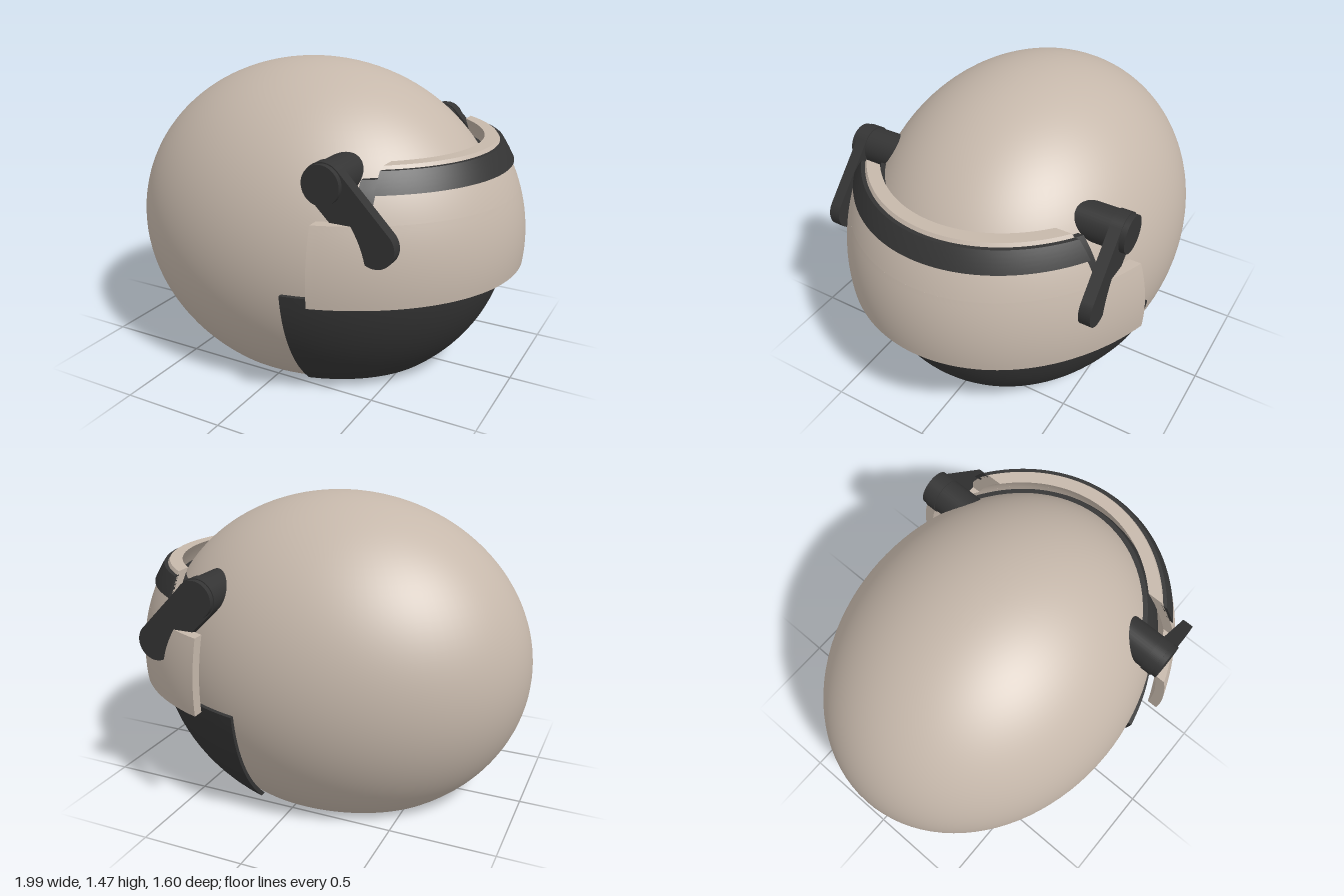
import * as THREE from 'three';
import { toCreasedNormals } from 'three/addons/utils/BufferGeometryUtils.js';

const CX = -0.055, CY = 0.645; // centre shared by all the ellipsoids

// Curved plate between two concentric ellipsoids [a, b, c], kept between y0 and y1 and in front of xMin
function plateGeometry(outer, inner, y0, y1, xMin, cols = 64, rows = 14) {
  const position = [], index = [], ring = 2 * (rows + 1);
  const point = ([a, b, c], y, u) => {
    const r = Math.sqrt(1 - ((y - CY) / b) ** 2);
    const t = u * Math.acos(Math.min(1, (xMin - CX) / (a * r)));
    position.push(CX + a * r * Math.cos(t), y, c * r * Math.sin(t));
  };
  for (let i = 0; i <= cols; i++) {
    const u = (i / cols) * 2 - 1;
    for (let j = 0; j <= rows; j++) point(outer, y0 + ((y1 - y0) * j) / rows, u);
    for (let j = rows; j >= 0; j--) point(inner, y0 + ((y1 - y0) * j) / rows, u);
  }
  for (let i = 0; i < cols; i++) {
    for (let j = 0; j < ring; j++) {
      const k = (j + 1) % ring, p = i * ring, q = p + ring;
      index.push(p + j, p + k, q + j, p + k, q + k, q + j);
    }
  }
  // end caps
  for (let j = 0; j < rows; j++) {
    const o = j, o2 = j + 1, n = ring - 1 - j, n2 = n - 1, e = cols * ring;
    index.push(e + o, e + o2, e + n2, e + o, e + n2, e + n);
    index.push(o, n2, o2, o, n, n2);
  }
  const g = new THREE.BufferGeometry();
  g.setAttribute('position', new THREE.Float32BufferAttribute(position, 3));
  g.setIndex(index);
  return toCreasedNormals(g, 0.6);
}

// Hollow shell, cut flat at y = 0, with a thick rim
function shellGeometry() {
  const a = 0.945, b = 0.82, c = 0.755, k = 0.89, n = 48, pts = [];
  const arc = (s, up) => {
    const low = Math.asin(-CY / (b * s));
    for (let i = 0; i <= n; i++) {
      const t = low + (Math.PI / 2 - low) * (up ? i / n : 1 - i / n);
      pts.push(new THREE.Vector2(Math.max(0, s * Math.cos(t)), s * Math.sin(t)));
    }
  };
  arc(k, false);
  arc(1, true);
  const g = new THREE.LatheGeometry(pts, 96);
  g.scale(a, b, c);
  g.translate(CX, CY, 0);
  return toCreasedNormals(g, 0.6);
}

// Rounded lever running from the hinge down to the visor
function armGeometry(length, r, depth) {
  const s = new THREE.Shape();
  s.absarc(0, 0, r, Math.PI / 2, Math.PI * 1.5, false);
  s.absarc(length, 0, r * 0.95, -Math.PI / 2, Math.PI / 2, false);
  s.closePath();
  return new THREE.ExtrudeGeometry(s, { depth, bevelEnabled: false, curveSegments: 20 });
}

export function createModel() {
  const model = new THREE.Group();
  const beige = new THREE.MeshStandardMaterial({ color: 0xc6b8ab });
  beige.name = 'warm beige';
  const dark = new THREE.MeshStandardMaterial({ color: 0x343434 });
  dark.name = 'charcoal';
  const add = (name, geometry, material, parent = model) => {
    const mesh = new THREE.Mesh(geometry, material);
    mesh.name = name;
    parent.add(mesh);
    return mesh;
  };

  add('shell', shellGeometry(), beige);
  add('chinGuard', plateGeometry([0.97, 0.845, 0.78], [0.95, 0.825, 0.76], 0.025, 0.555, 0.17), dark);
  add('eyePort', plateGeometry([0.965, 0.84, 0.775], [0.93, 0.805, 0.74], 0.56, 1.06, 0.45), dark);

  // Visor: a long lower part and a shorter upper part with a dark trim
  const visorOuter = [1.05, 0.92, 0.86], visorInner = [1.0, 0.87, 0.81];
  add('visorLower', plateGeometry(visorOuter, visorInner, 0.55, 0.91, 0.33), beige);
  add('visorUpper', plateGeometry(visorOuter, visorInner, 0.91, 1.135, 0.55), beige);
  add('visorTrim', plateGeometry([1.065, 0.935, 0.875], [1.04, 0.91, 0.85], 1.03, 1.12, 0.55), dark);

  // Hinges on both sides
  for (const side of [1, -1]) {
    const hinge = new THREE.Group();
    hinge.name = side > 0 ? 'frontHinge' : 'backHinge';
    const hub = add('hingeHub', new THREE.CylinderGeometry(0.088, 0.088, 0.27, 40), dark, hinge);
    hub.rotation.x = Math.PI / 2;
    hub.position.set(0.355, 1.07, side * 0.585);
    const arm = add('hingeArm', armGeometry(0.335, 0.093, 0.055), dark, hinge);
    arm.rotation.z = -Math.PI / 4;
    arm.position.set(0.355, 1.07, side > 0 ? 0.64 : -0.695);
    model.add(hinge);
  }
  return model;
}
